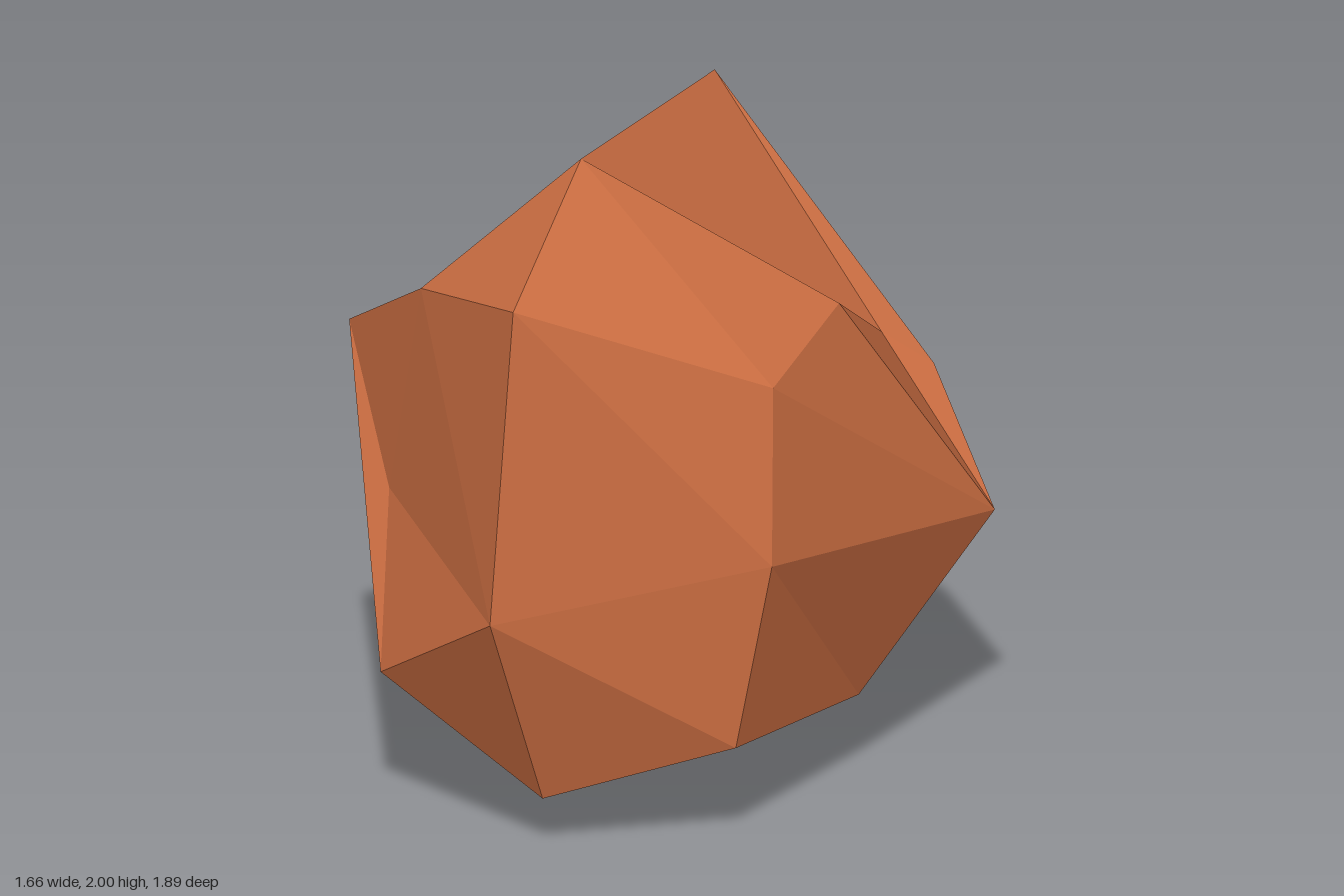
import * as THREE from 'three';

// Corner points of the boulder, one letter each
const P = {
  // crown
  A: [-0.06, 2.0, 0.37], B: [-0.06, 1.715, 0.85], R: [-0.03, 1.935, -0.505],
  // upper ring
  C: [0.53, 1.39, 0.36], D: [0.55, 1.49, -0.06], S: [0.47, 1.2, -0.54], T: [0.6, 1.095, -0.615],
  V: [-0.51, 1.5, -0.365], X: [-0.61, 1.41, 0.07], F: [-0.83, 1.325, 0.25], G: [-0.49, 1.585, 0.52],
  // waist
  H: [-0.09, 0.78, 0.945], I: [-0.61, 0.93, 0.47], p: [0.57, 0.885, 0.46], E: [0.83, 0.72, -0.52],
  Q: [0, 1.01, -0.945], W: [-0.65, 0.93, -0.47], Y: [0.465, 0.52, -0.38], Z: [-0.56, 0.67, -0.14],
  // foot
  J: [-0.54, 0.46, 0.69], K: [-0.66, 0.365, 0.275], L: [-0.03, 0.165, 0.71], M: [-0.02, 0, -0.02],
  N: [0.48, 0.33, 0.51], O: [0.58, 0.26, -0.13], U: [-0.03, 0.37, -0.615],
};

// Facets by region, each fanned from its first corner
const FACETS = {
  crown: ['ABG', 'AGX', 'AXVR', 'ABCD', 'ADSR'],
  front: ['BCpH', 'HpNL', 'HBGIJL', 'FGI', 'FIJ'],
  leftSide: ['CDEp', 'pEON', 'EDST', 'ETYO'],
  rightSide: ['FGX', 'XFWV', 'FWZK', 'FJK'],
  back: ['RSTQ', 'RVWQ', 'QTYU', 'QWZU'],
  underside: ['LNOM', 'JLMK', 'YOMU', 'ZKMU'],
};

const centre = new THREE.Vector3(0, 1, 0);

function facetGeometry(facets) {
  const points = [];
  for (const f of facets) {
    for (let i = 1; i < f.length - 1; i++) {
      const [a, b, c] = [f[0], f[i], f[i + 1]].map((k) => new THREE.Vector3(...P[k]));
      const tri = new THREE.Triangle(a, b, c);
      const out = tri.getMidpoint(new THREE.Vector3()).sub(centre);
      // wind every triangle so it faces outwards
      const facing = tri.getNormal(new THREE.Vector3()).dot(out) > 0;
      points.push(...(facing ? [a, b, c] : [a, c, b]));
    }
  }
  const geometry = new THREE.BufferGeometry().setFromPoints(points);
  geometry.computeVertexNormals();
  return geometry;
}

export function createModel() {
  const rock = new THREE.Group();
  rock.name = 'rock';
  const terracotta = new THREE.MeshStandardMaterial({ color: 0xcc6e42 });
  terracotta.name = 'terracotta';
  terracotta.flatShading = true;
  for (const [name, facets] of Object.entries(FACETS)) {
    const mesh = new THREE.Mesh(facetGeometry(facets), terracotta);
    mesh.name = name;
    rock.add(mesh);
  }
  return rock;
}
